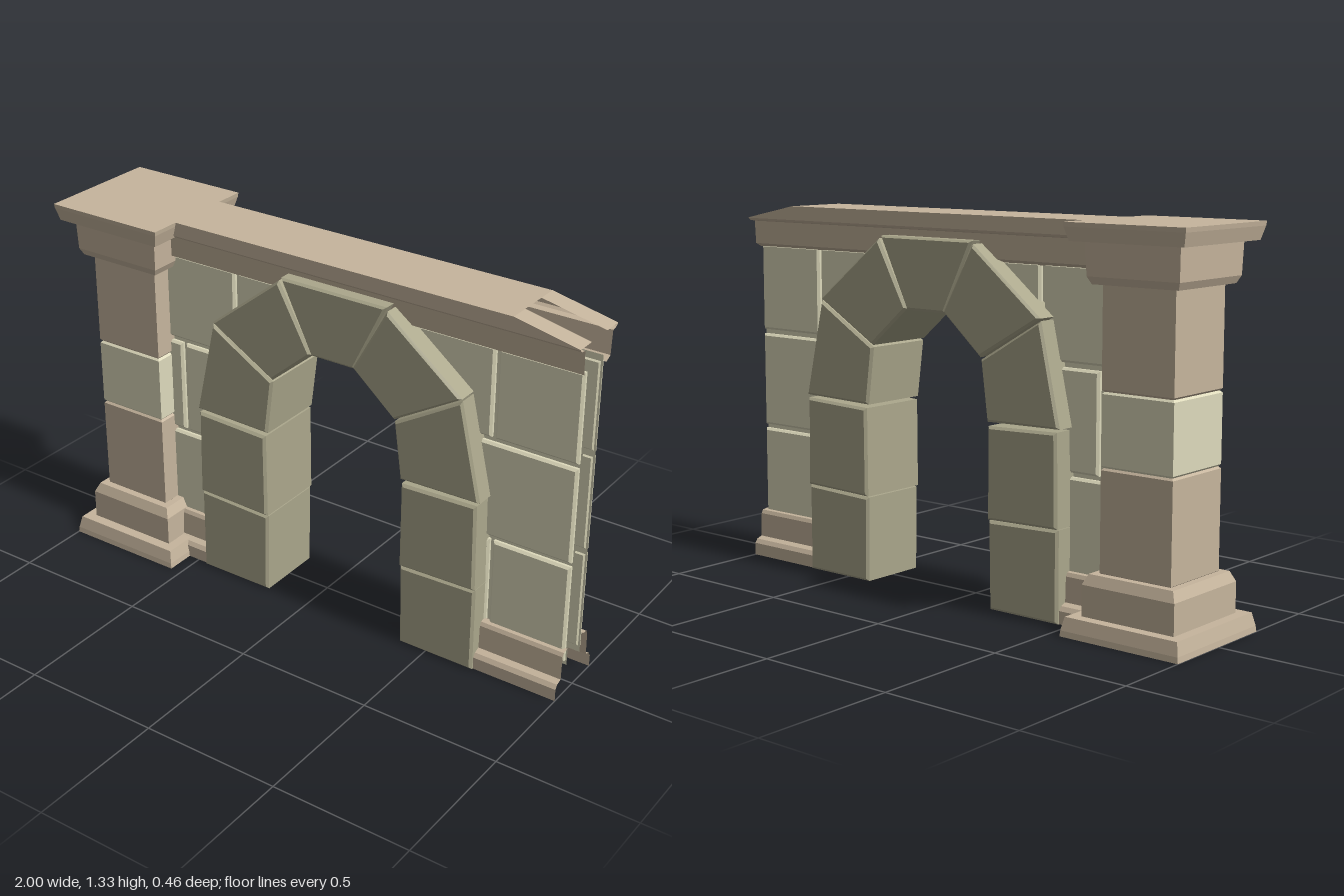
import * as THREE from 'three';

const stone = (color, side = THREE.FrontSide) =>
  new THREE.MeshStandardMaterial({ color, flatShading: true, side });
const tan = stone(0xc6b59d);
const tanSheet = stone(0xc6b59d, THREE.DoubleSide);
const cream = stone(0xdedabc);
const creamSheet = stone(0xdedabc, THREE.DoubleSide);
const olive = stone(0xaba78c);

const PILLAR_X = -0.772;
const ARCH_X = 0.113;
const mirrorX = (pts) => pts.map(([x, y]) => [2 * ARCH_X - x, y]).reverse();
const toShape = (pts) => new THREE.Shape(pts.map(([x, y]) => new THREE.Vector2(x, y)));

function add(parent, name, geometry, material) {
  const mesh = new THREE.Mesh(geometry, material);
  mesh.name = name;
  parent.add(mesh);
  return mesh;
}

// Square turned block from [half width, y] pairs
function squareStack(profile) {
  const pts = profile.map(([r, y]) => new THREE.Vector2(r * Math.SQRT2, y));
  return new THREE.LatheGeometry(pts, 4, Math.PI / 4);
}

// Bevelled stone with the given outline, between two depths
function stoneBlock(pts, z0, z1, bevel) {
  const geo = new THREE.ExtrudeGeometry(toShape(pts), {
    depth: z1 - z0 - 2 * bevel, bevelEnabled: true, bevelSegments: 1,
    bevelSize: bevel, bevelThickness: bevel, bevelOffset: -bevel,
  });
  return geo.translate(0, 0, z0 + bevel);
}

// Open moulding swept along x from [z, y] profiles at its two ends
function moulding(x0, x1, start, end = start) {
  const pos = [];
  for (let i = 0; i < start.length - 1; i++) {
    const a = [x0, start[i][1], start[i][0]], b = [x0, start[i + 1][1], start[i + 1][0]];
    const c = [x1, end[i + 1][1], end[i + 1][0]], d = [x1, end[i][1], end[i][0]];
    pos.push(...a, ...b, ...c, ...a, ...c, ...d);
  }
  const geo = new THREE.BufferGeometry();
  geo.setAttribute('position', new THREE.Float32BufferAttribute(pos, 3));
  geo.computeVertexNormals();
  return geo;
}

function createPillar() {
  const pillar = new THREE.Group();
  pillar.name = 'pillar';
  pillar.position.x = PILLAR_X;
  add(pillar, 'pillarPlinth', squareStack([[0, 0], [0.228, 0], [0.226, 0.02], [0.216, 0.065], [0, 0.065]]), tan);
  add(pillar, 'pillarBase', squareStack([[0.178, 0.06], [0.178, 0.17], [0.162, 0.205], [0, 0.205]]), tan);
  // Three shaft stones with chamfered joints
  [[0.2, 0.55, tan], [0.55, 0.795, cream], [0.795, 1.14, tan]].forEach(([y0, y1, mat], i) => {
    const h = 0.137, c = 0.007;
    add(pillar, `shaftStone${i + 1}`,
      squareStack([[0, y0], [h - c, y0], [h, y0 + c], [h, y1 - c], [h - c, y1], [0, y1]]), mat);
  });
  add(pillar, 'capital', squareStack([[0, 1.135], [0.162, 1.135], [0.174, 1.16], [0.178, 1.275]]), tan);
  add(pillar, 'capitalSlab', squareStack([[0, 1.27], [0.214, 1.27], [0.226, 1.315], [0.228, 1.33], [0, 1.33]]), tan);
  return pillar;
}

function createArch() {
  const arch = new THREE.Group();
  arch.name = 'arch';
  // Outlines of the left half, counter-clockwise, from the ground up
  const half = [
    [[-0.46, 0], [-0.17, 0], [-0.165, 0.308], [-0.46, 0.318]],
    [[-0.46, 0.32], [-0.165, 0.312], [-0.167, 0.632], [-0.455, 0.642]],
    [[-0.464, 0.652], [-0.16, 0.645], [-0.133, 0.852], [-0.22, 0.903], [-0.385, 1.0]],
    [[-0.385, 1.008], [-0.133, 0.86], [0.03, 1.0], [-0.1, 1.235]],
  ];
  const depths = [0.134, 0.141, 0.138, 0.142];
  half.forEach((pts, i) => {
    const d = depths[i];
    add(arch, `leftArchStone${i + 1}`, stoneBlock(pts, -d, d, 0.009), olive);
    add(arch, `rightArchStone${i + 1}`, stoneBlock(mirrorX(pts), -d, d, 0.009), olive);
  });
  const key = [[-0.094, 1.245], [0.026, 0.995], [0.2, 0.995], [0.32, 1.245]];
  add(arch, 'keystone', stoneBlock(key, -0.137, 0.137, 0.009), olive);
  return arch;
}

// One face of the wall: mortar, stones, cornice and skirting
function createWallFace() {
  const face = new THREE.Group();
  const arc = [[-0.3, 0.66], [-0.25, 0.92], [-0.1, 1.08], [0.113, 1.12], [0.113, 1.2]];
  const leftMortar = [[-0.65, 0.1], [-0.3, 0.1], ...arc, [-0.65, 1.2]];
  const rightMortar = mirrorX([[-0.77, 0.1], [-0.3, 0.1], ...arc, [-0.77, 1.2]]);
  [leftMortar, rightMortar].forEach((pts) => {
    add(face, 'mortar', new THREE.ShapeGeometry(toShape(pts)).translate(0, 0, 0.045), creamSheet);
  });

  const rect = (x0, x1, y0, y1) => [[x0, y0], [x1, y0], [x1, y1], [x0, y1]];
  const spandrel = (x) => [[x, 0.862], [-0.26, 0.862], [-0.22, 0.94], [0, 1.1], [0, 1.18], [x, 1.18]];
  const stones = [
    rect(-0.65, -0.35, 0.12, 0.485),
    rect(-0.65, -0.585, 0.5, 0.845),
    rect(-0.57, -0.3, 0.5, 0.845),
    rect(-0.65, -0.343, 0.862, 1.18),
    spandrel(-0.328),
    rect(0.55, 0.692, 0.12, 0.485),
    rect(0.706, 0.992, 0.12, 0.485),
    rect(0.53, 0.992, 0.5, 0.845),
    mirrorX(spandrel(-0.455)),
    rect(0.695, 0.992, 0.862, 1.18),
  ];
  stones.forEach((pts, i) =>
    add(face, `wallStone${i + 1}`, stoneBlock(pts, 0.04, 0.065, 0.008), cream));

  // Cornice, with its top sloping away at the broken end
  const under = [[0.12, 1.28], [0.112, 1.272], [0.09, 1.268], [0.085, 1.185], [0.06, 1.172]];
  add(face, 'cornice', moulding(-0.64, 0.77, [[0, 1.33], [0.12, 1.33], ...under]), tanSheet);
  add(face, 'corniceEnd', moulding(0.77, 1, [[0.05, 1.33], [0.12, 1.33], ...under],
    [[0.05, 1.282], [0.12, 1.282], ...under]), tanSheet);

  // Skirting either side of the opening
  const skirt = [[0.055, 0.172], [0.078, 0.168], [0.085, 0.155], [0.088, 0.068], [0.11, 0.06], [0.12, 0.045], [0.12, 0]];
  add(face, 'leftSkirting', moulding(-0.65, -0.4, skirt), tanSheet);
  add(face, 'rightSkirting', moulding(0.6, 1, skirt), tanSheet);
  return face;
}

export function createModel() {
  const model = new THREE.Group();
  model.name = 'stoneArchway';
  model.add(createPillar(), createArch());
  for (const side of [1, -1]) {
    const face = createWallFace();
    face.name = side > 0 ? 'frontWall' : 'backWall';
    face.scale.z = side;
    model.add(face);
  }
  return model;
}
